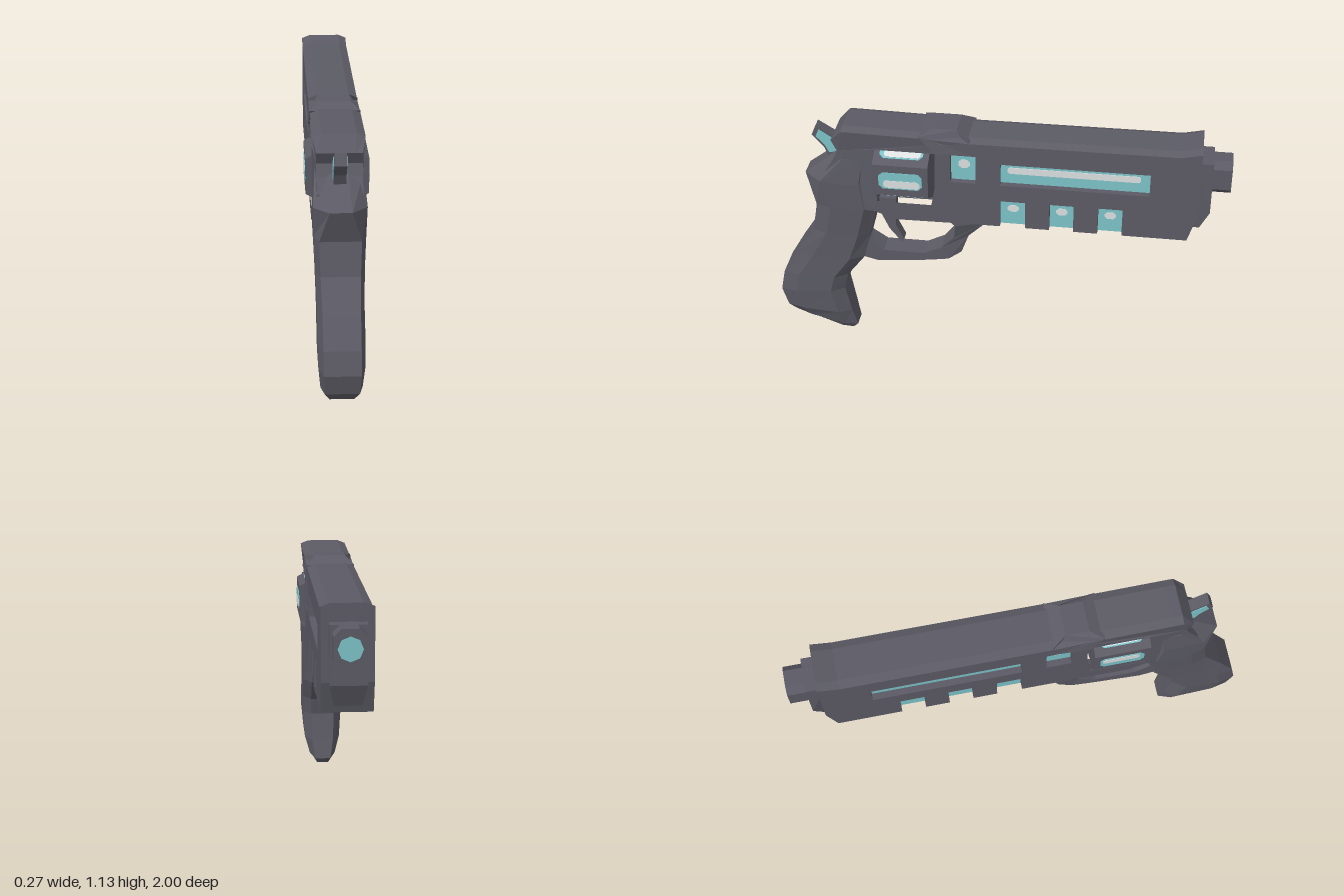
import * as THREE from 'three';

const mat = (name, color) => Object.assign(new THREE.MeshStandardMaterial({ color }), { name });

export function createModel() {
  const root = new THREE.Group();
  root.name = 'revolver';
  const metal = mat('gunmetal', 0x5c5b65);
  const teal = mat('glow teal', 0x7cc3c9);
  const pale = mat('pale highlight', 0xdce0e0);

  function add(name, geo, material, parent = root) {
    const m = new THREE.Mesh(geo, material);
    m.name = name;
    parent.add(m);
    return m;
  }
  // Reshape vertices by a rule and restore flat normals
  function bend(geo, rule) {
    const g = geo.index ? geo.toNonIndexed() : geo;
    const p = g.attributes.position, v = new THREE.Vector3();
    for (let i = 0; i < p.count; i++) {
      v.fromBufferAttribute(p, i);
      rule(v);
      p.setXYZ(i, v.x, v.y, v.z);
    }
    g.computeVertexNormals();
    return g;
  }
  const toShape = (pts, holes = []) => {
    const s = new THREE.Shape(pts.map(([a, b]) => new THREE.Vector2(a, b)));
    holes.forEach(h => s.holes.push(new THREE.Path(h.map(([a, b]) => new THREE.Vector2(a, b)))));
    return s;
  };
  // Extrude a (z, y) profile across x, from x0 to x1
  function slab(pts, x0, x1, holes) {
    const g = new THREE.ExtrudeGeometry(toShape(pts, holes), { depth: x1 - x0, bevelEnabled: false });
    return g.rotateY(-Math.PI / 2).translate(x1, 0, 0);
  }
  const rect = (z0, z1, y0, y1) => [[z0, y0], [z1, y0], [z1, y1], [z0, y1]];
  // Rectangle with cut corners
  const cutRect = (w, h, c) => [
    [-w / 2 + c, -h / 2], [w / 2 - c, -h / 2], [w / 2, -h / 2 + c], [w / 2, h / 2 - c],
    [w / 2 - c, h / 2], [-w / 2 + c, h / 2], [-w / 2, h / 2 - c], [-w / 2, -h / 2 + c]];
  // Thin plate at a given x, lying in the z-y plane
  function plate(name, x, z, y, w, h, cut, material, parent = root) {
    add(name, slab(cutRect(w, h, cut), -0.003, 0.003).translate(x, y, z), material, parent);
  }

  // Frame and barrel: a core between two side walls with open slots
  const topAndRear = [[-0.83, 0.69], [-0.87, 0.82], [-0.87, 1.135], [-0.78, 1.115], [0.12, 1.11],
    [0.33, 1.12], [0.62, 1.125], [0.665, 1.125], [0.715, 1.06], [0.69, 1.01], [0.71, 0.96],
    [0.75, 0.9], [0.75, 0.72], [0.53, 0.72], [0.46, 0.685], [0.04, 0.69]];
  const lowSlots = [[-0.02, -0.13], [-0.235, -0.34], [-0.445, -0.55]];
  const notches = lowSlots.flatMap(([a, b]) => [[a, 0.69], [a, 0.82], [b, 0.82], [b, 0.69]]);
  const cylinderWindow = [[0.53, 0.75], [0.285, 0.75], [0.265, 0.86], [0.26, 1.035], [0.53, 1.035]];
  const longSlot = rect(-0.66, -0.02, 0.9, 1.005);
  const smallSlot = rect(0.085, 0.195, 0.9, 1.035);
  const soften = v => {
    if (v.y > 1.08 && Math.abs(v.x) > 0.1) v.y -= 0.014;
    if (v.z > 0.68) v.x *= 0.88;
  };
  add('frameCore', bend(slab(topAndRear, -0.07, 0.07, [cylinderWindow]), soften), metal);
  for (const s of [1, -1]) {
    const side = s > 0 ? 'left' : 'right';
    const wall = slab([...topAndRear, ...notches], s > 0 ? 0.07 : -0.105, s > 0 ? 0.105 : -0.07,
      [cylinderWindow, longSlot, smallSlot]);
    add(side + 'FrameWall', bend(wall, soften), metal);

    // Glowing panels on the slot floors
    const x = s * 0.073, xp = s * 0.076;
    plate(side + 'LongPanel', x, -0.34, 0.9525, 0.64, 0.105, 0.001, teal);
    plate(side + 'LongHighlight', xp, -0.335, 0.962, 0.57, 0.03, 0.008, pale);
    plate(side + 'SmallPanel', x, 0.14, 0.9675, 0.11, 0.135, 0.001, teal);
    plate(side + 'SmallHighlight', xp, 0.138, 0.98, 0.05, 0.04, 0.013, pale);
    for (const [a, b] of lowSlots) {
      plate(side + 'LowerPanel', x, (a + b) / 2, 0.755, 0.11, 0.13, 0.001, teal);
      plate(side + 'LowerHighlight', xp, (a + b) / 2, 0.77, 0.05, 0.033, 0.012, pale);
    }
  }

  // Raised saddle over the frame
  const saddle = slab([[0.31, 1.08], [0.27, 1.04], [0.11, 1.04], [0.11, 1.105], [0.17, 1.138], [0.27, 1.138], [0.33, 1.115]], -0.112, 0.112);
  add('topSaddle', bend(saddle, v => {
    if (v.y > 1.12) v.x *= 0.6;
    else if (v.z > 0.3 || v.z < 0.12) v.x *= 0.94;
  }), metal);

  // Six-sided ammunition cylinder with a lit inset on every face
  const drum = new THREE.Group();
  drum.name = 'cylinder';
  drum.position.set(0, 0.9, 0.41);
  root.add(drum);
  const hex = new THREE.CylinderGeometry(0.15, 0.15, 0.242, 6).rotateX(Math.PI / 2);
  add('cylinderBody', bend(hex, () => {}), metal, drum);
  for (let i = 0; i < 6; i++) {
    const face = new THREE.Group();
    face.name = 'cylinderFace';
    face.rotation.z = i * Math.PI / 3;
    drum.add(face);
    plate('cylinderInset', 0.13, 0, 0, 0.19, 0.08, 0.018, teal, face);
    plate('cylinderHighlight', 0.132, -0.005, i > 1 && i < 5 ? 0.016 * (i === 3 ? -1 : 1) : -0.016, 0.16, 0.035, 0.01, pale, face);
  }

  // Barrel nose block, muzzle and bore
  add('noseBlock', bend(slab([[-0.84, 0.73], [-0.88, 0.73], [-0.92, 0.82], [-0.92, 1.06], [-0.84, 1.06]], -0.075, 0.075),
    v => { if (v.y < 0.8) v.x *= 0.75; }), metal);
  const muzzle = new THREE.ExtrudeGeometry(toShape(cutRect(0.13, 0.156, 0.03)), { depth: 0.14, bevelEnabled: false });
  add('muzzle', muzzle.translate(0, 0.983, -0.999), metal);
  add('bore', new THREE.CircleGeometry(0.05, 8).rotateY(Math.PI).translate(0, 0.983, -1), teal);

  // Grip: eight-sided sections [back z, back y, front z, front y, half width, back half width]
  const sections = [
    [0.71, 0.97, 0.55, 0.97, 0.098, 0.035], [0.85, 0.86, 0.54, 0.84, 0.108, 0.045],
    [0.80, 0.72, 0.53, 0.72, 0.106, 0.085], [0.825, 0.58, 0.57, 0.57, 0.099, 0.08],
    [0.91, 0.45, 0.605, 0.435, 0.095, 0.076], [0.98, 0.33, 0.685, 0.33, 0.095, 0.075],
    [1.0, 0.23, 0.705, 0.25, 0.094, 0.075], [0.975, 0.14, 0.68, 0.12, 0.085, 0.07],
    [0.94, 0.1, 0.66, 0.03, 0.062, 0.05], [0.92, 0.09, 0.685, 0.003, 0.045, 0.03]];
  const pos = [], idx = [];
  for (const [bz, by, fz, fy, w, bw] of sections) {
    const half = [[bw, 0], [w, 0.25], [w, 0.8], [w * 0.6, 1]];
    const ring = [...half, ...half.slice().reverse().map(([x, t]) => [-x, t])];
    for (const [x, t] of ring) pos.push(x, by + (fy - by) * t, bz + (fz - bz) * t);
  }
  const last = (sections.length - 1) * 8;
  for (let r = 0; r < last; r += 8) for (let k = 0; k < 8; k++) {
    const a = r + k, b = r + (k + 1) % 8;
    idx.push(a, a + 8, b, b, a + 8, b + 8);
  }
  for (let k = 1; k < 7; k++) idx.push(0, k, k + 1, last, last + k + 1, last + k);
  const grip = new THREE.BufferGeometry();
  grip.setAttribute('position', new THREE.Float32BufferAttribute(pos, 3));
  grip.setIndex(idx);
  add('grip', bend(grip, () => {}), metal);

  // Trigger guard, flaring where it meets the frame
  const guard = slab([[0.04, 0.695], [0.125, 0.6], [0.16, 0.5], [0.22, 0.455], [0.31, 0.44], [0.54, 0.415],
    [0.62, 0.435], [0.62, 0.55], [0.575, 0.515], [0.515, 0.475], [0.33, 0.475], [0.25, 0.515],
    [0.19, 0.585], [0.18, 0.66], [0.215, 0.695]], -0.05, 0.05);
  add('triggerGuard', bend(guard, v => { v.x *= v.y > 0.65 ? 1.8 : v.y > 0.57 ? 1.3 : 1; }), metal);
  add('trigger', slab([[0.53, 0.74], [0.525, 0.66], [0.49, 0.58], [0.435, 0.51], [0.425, 0.525],
    [0.46, 0.6], [0.455, 0.74]], -0.025, 0.025), metal);

  // Hammer with glowing cheeks
  const hammer = [[0.795, 1.088], [0.7, 1.03], [0.66, 0.95], [0.745, 0.94], [0.765, 0.985], [0.815, 1.04]];
  add('hammer', slab(hammer, -0.025, 0.025), metal);
  const cheek = [[0.783, 1.07], [0.715, 1.025], [0.7, 0.965], [0.742, 0.96], [0.76, 0.995], [0.797, 1.035]];
  for (const s of [1, -1]) add('hammerGlow', slab(cheek, s * 0.025 - 0.003, s * 0.025 + 0.003), teal);

  return root;
}
